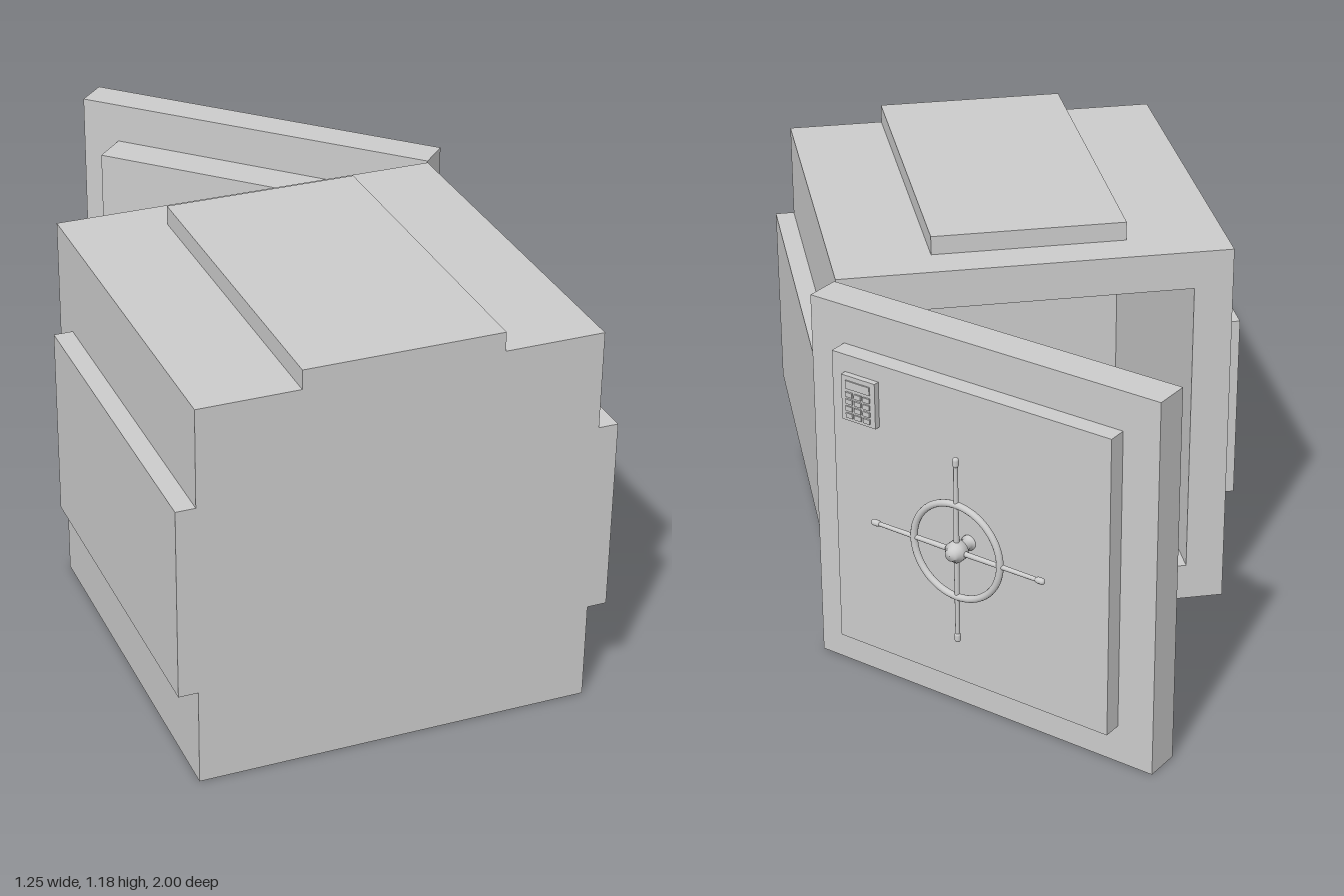
import * as THREE from 'three';

const material = new THREE.MeshStandardMaterial({ color: 0xcccccc });

function add(parent, name, geometry, x = 0, y = 0, z = 0) {
  const mesh = new THREE.Mesh(geometry, material);
  mesh.name = name;
  mesh.position.set(x, y, z);
  parent.add(mesh);
  return mesh;
}

// Box given by its lower and upper limits
function block(parent, name, [x0, x1], [y0, y1], [z0, z1]) {
  return add(parent, name, new THREE.BoxGeometry(x1 - x0, y1 - y0, z1 - z0),
    (x0 + x1) / 2, (y0 + y1) / 2, (z0 + z1) / 2);
}

function rectPath(path, x0, x1, y0, y1) {
  path.moveTo(x0, y0);
  path.lineTo(x1, y0);
  path.lineTo(x1, y1);
  path.lineTo(x0, y1);
  path.closePath();
  return path;
}

const LEFT = 0.547, RIGHT = -0.575, HEIGHT = 1.125, WALL = 0.112;

function createBody() {
  const body = new THREE.Group();
  body.name = 'body';
  // Hollow shell, open towards the door
  const shape = rectPath(new THREE.Shape(), RIGHT, LEFT, 0, HEIGHT);
  shape.holes.push(rectPath(new THREE.Path(), RIGHT + WALL, LEFT - WALL, WALL, HEIGHT - WALL));
  add(body, 'shell', new THREE.ExtrudeGeometry(shape, { depth: 1.01, bevelEnabled: false }), 0, 0, -0.125);
  block(body, 'endWall', [RIGHT, LEFT], [0, HEIGHT], [0.885, 1]);
  // Raised armour panels
  block(body, 'leftPanel', [LEFT, 0.603], [0.283, 0.843], [-0.01, 1]);
  block(body, 'rightPanel', [-0.63, RIGHT], [0.283, 0.843], [-0.01, 1]);
  block(body, 'topPanel', [-0.291, 0.265], [HEIGHT, 1.18], [-0.01, 1]);
  return body;
}

function createWheel() {
  const wheel = new THREE.Group();
  wheel.name = 'handWheel';
  add(wheel, 'rim', new THREE.TorusGeometry(0.141, 0.01, 12, 64));
  // Turned shaft and hub along the wheel axis
  const profile = [[0.022, -0.06], [0.022, -0.052], [0.015, -0.048], [0.015, -0.02], [0.03, -0.014],
    [0.03, 0.012], [0.02, 0.018], [0.017, 0.03], [0, 0.033]].map(p => new THREE.Vector2(...p));
  add(wheel, 'hub', new THREE.LatheGeometry(profile, 24)).rotation.x = Math.PI / 2;
  // Four handles with knobs
  for (let i = 0; i < 4; i++) {
    const handle = new THREE.Group();
    handle.name = 'handle';
    add(handle, 'spoke', new THREE.CylinderGeometry(0.006, 0.008, 0.27, 12), 0, 0.135);
    add(handle, 'knob', new THREE.CapsuleGeometry(0.009, 0.012, 6, 12), 0, 0.269);
    handle.rotation.z = i * Math.PI / 2;
    wheel.add(handle);
  }
  return wheel;
}

function createKeypad() {
  const keypad = new THREE.Group();
  keypad.name = 'keypad';
  add(keypad, 'case', new THREE.BoxGeometry(0.112, 0.135, 0.018), 0, 0, 0.009);
  add(keypad, 'display', new THREE.BoxGeometry(0.08, 0.024, 0.004), 0, 0.042, 0.02);
  for (let row = 0; row < 4; row++)
    for (let col = 0; col < 3; col++)
      add(keypad, 'button', new THREE.BoxGeometry(0.022, 0.014, 0.006), (col - 1) * 0.029, 0.013 - row * 0.021, 0.02);
  return keypad;
}

// Door lies in its own frame: outer face towards local +z, hinge edge at local -x
function createDoor() {
  const door = new THREE.Group();
  door.name = 'door';
  block(door, 'slab', [-0.559, 0.559], [0, HEIGHT], [0, 0.104]);
  block(door, 'plug', [-0.444, 0.444], [0.118, 1.007], [-0.115, 0]);
  block(door, 'facePanel', [-0.448, 0.448], [0.114, 1.011], [0.104, 0.158]);
  const wheel = createWheel();
  wheel.position.set(0, HEIGHT / 2, 0.215);
  const keypad = createKeypad();
  keypad.position.set(-0.349, 0.892, 0.158);
  door.add(wheel, keypad);
  // Hinge leaves and screws on the door edge
  for (const y of [0.225, 0.9]) {
    block(door, 'doorHingeLeaf', [-0.561, -0.559], [y - 0.14, y + 0.14], [0, 0.045]);
    for (const dy of [-0.06, 0, 0.06])
      add(door, 'screw', new THREE.SphereGeometry(0.006, 10, 6), -0.561, y + dy, 0.027);
  }
  door.position.set(0.156, 0, -0.53);
  door.rotation.y = Math.PI * 0.75;
  return door;
}

function createHinge(y) {
  const hinge = new THREE.Group();
  hinge.name = 'hinge';
  for (let i = 0; i < 5; i++)
    add(hinge, 'knuckle', new THREE.CylinderGeometry(0.007, 0.007, 0.053, 12), 0.554, (i - 2) * 0.0565, -0.131);
  add(hinge, 'pin', new THREE.CylinderGeometry(0.004, 0.004, 0.284, 10), 0.554, 0, -0.131);
  block(hinge, 'bodyHingeLeaf', [LEFT, LEFT + 0.002], [-0.14, 0.14], [-0.131, -0.085]);
  for (const dy of [-0.06, 0, 0.06])
    add(hinge, 'screw', new THREE.SphereGeometry(0.006, 10, 6), LEFT + 0.002, dy, -0.103);
  hinge.position.y = y;
  return hinge;
}

export function createModel() {
  const safe = new THREE.Group();
  safe.name = 'safe';
  safe.add(createBody(), createDoor(), createHinge(0.225), createHinge(0.9));
  return safe;
}
